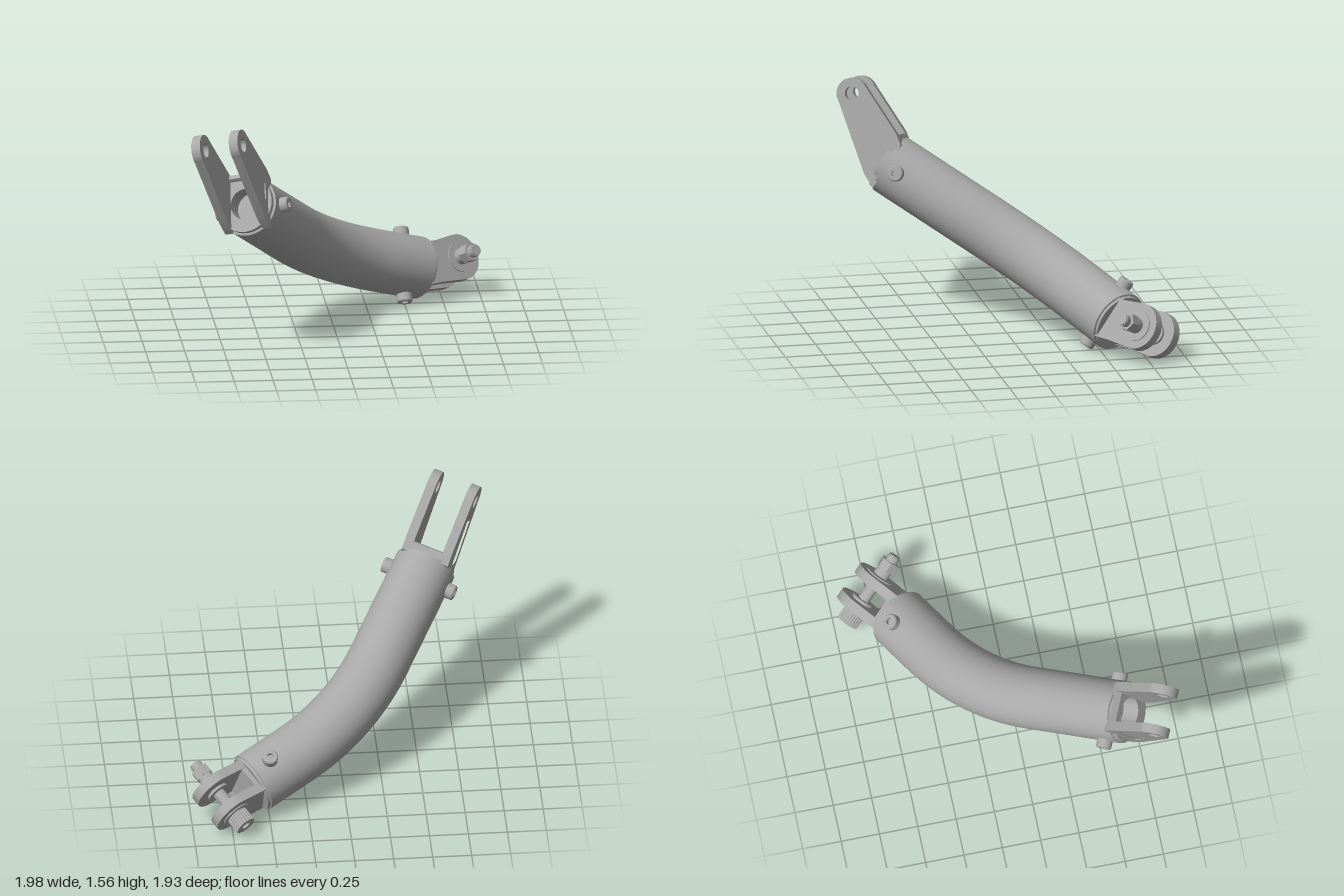
import * as THREE from 'three';
import { toCreasedNormals } from 'three/addons/utils/BufferGeometryUtils.js';

const V = (x, y, z) => new THREE.Vector3(x, y, z);

export function createModel() {
  const root = new THREE.Group();
  root.name = 'bentLinkArm';
  const metal = new THREE.MeshStandardMaterial({ color: 0xa8a8a8 });
  metal.name = 'grey metal';

  const add = (parent, name, geo) => {
    const m = new THREE.Mesh(toCreasedNormals(geo, 0.6), metal);
    m.name = name;
    parent.add(m);
    return m;
  };
  // turned part around y from [radius, height] pairs, bottom to top
  const turned = (pts, sides = 40) =>
    new THREE.LatheGeometry(pts.map(([r, h]) => new THREE.Vector2(r, h)), sides);
  // places a y-axis part at a point, facing a direction
  const aim = (mesh, pos, dir) => {
    mesh.position.copy(pos);
    mesh.quaternion.setFromUnitVectors(V(0, 1, 0), dir);
    return mesh;
  };
  // plate cut from an outline, spanning z0..z1
  const plate = (shape, z0, z1) =>
    new THREE.ExtrudeGeometry(shape, { depth: z1 - z0, bevelEnabled: false, curveSegments: 20 }).translate(0, 0, z0);
  // cylinder along z
  const rod = (r, z0, z1, sides = 32) =>
    new THREE.CylinderGeometry(r, r, z1 - z0, sides).rotateX(Math.PI / 2).translate(0, 0, (z0 + z1) / 2);
  // local frame: y along the fork, z along its pin
  const frame = (name, origin, along, pin) => {
    const y = along.clone().normalize();
    const z = pin.clone().addScaledVector(y, -pin.dot(y)).normalize();
    const x = y.clone().cross(z);
    const g = new THREE.Group();
    g.name = name;
    g.quaternion.setFromRotationMatrix(new THREE.Matrix4().makeBasis(x, y, z));
    g.position.copy(origin);
    root.add(g);
    return { g, x, y, z };
  };

  // bent tube: two straight runs joined by a smooth bend
  const top = V(-0.61, 1.01, 0.63), low = V(0.595, 0.225, -0.6), corner = V(-0.055, 0.45, -0.25);
  const upDir = top.clone().sub(corner).normalize();
  const lowDir = low.clone().sub(corner).normalize();
  const a = corner.clone().addScaledVector(upDir, 0.46);
  const b = corner.clone().addScaledVector(lowDir, 0.46);
  const path = new THREE.CurvePath();
  path.add(new THREE.LineCurve3(top, a));
  path.add(new THREE.QuadraticBezierCurve3(a, corner, b));
  path.add(new THREE.LineCurve3(b, low));
  add(root, 'bentTube', new THREE.TubeGeometry(path, 72, 0.2, 48));

  // end collars closing the tube; the upper one is bored
  aim(add(root, 'upperCollar', turned([[0.2, 0], [0.185, 0.004], [0.185, 0.035], [0.1, 0.035], [0.1, -0.08], [0, -0.08]])), top, upDir);
  aim(add(root, 'lowerCollar', turned([[0.2, 0], [0.188, 0.004], [0.185, 0.02], [0, 0.02]])), low, lowDir);

  // upper fork: two tapered prongs with pin holes and outer pockets
  const up = frame('upperFork', top, V(-0.19, 0.435, 0.18), V(0.89, 0.22, 0.4));
  const prongShape = () => {
    const s = new THREE.Shape();
    s.moveTo(-0.14, -0.1);
    s.lineTo(-0.15, 0.01);
    s.lineTo(-0.1, 0.49);
    s.absarc(0, 0.505, 0.1, Math.PI, 0, true);
    s.lineTo(0.15, 0.15);
    s.lineTo(0.145, 0.07);
    const hole = new THREE.Path();
    hole.absarc(0, 0.505, 0.045, 0, Math.PI * 2);
    s.holes.push(hole);
    return s;
  };
  const skinShape = prongShape();
  skinShape.holes.push(new THREE.Path(
    [[-0.05, 0.37], [0.06, 0.37], [0.1, 0.16], [-0.03, 0.06], [-0.09, 0.09]].map(([x, y]) => new THREE.Vector2(x, y))));
  for (const side of [1, -1]) {
    const core = [0.1, 0.138], skin = [0.138, 0.16];
    const span = ([i, o]) => (side > 0 ? [i, o] : [-o, -i]);
    add(up.g, 'prongCore', plate(prongShape(), ...span(core)));
    add(up.g, 'prongPocketRim', plate(skinShape, ...span(skin)));
  }
  add(up.g, 'forkWeb', new THREE.BoxGeometry(0.035, 0.11, 0.22).translate(0.13, 0.085, 0));

  // lower fork: two round lugs on a neck
  const lo = frame('lowerFork', low, V(0.205, -0.013, -0.155), V(0.515, 0.458, 0.725));
  const pinY = 0.257;
  const lug = new THREE.Shape();
  lug.moveTo(-0.135, 0.02);
  lug.lineTo(-0.135, 0.1);
  lug.lineTo(-0.148, 0.23);
  lug.absarc(0, pinY, 0.15, Math.PI - 0.1, 0.1, true);
  lug.lineTo(0.14, 0.08);
  lug.lineTo(0.14, -0.06);
  for (const z of [0.1, -0.1]) add(lo.g, 'lug', plate(lug, z - 0.032, z + 0.032));
  const neck = new THREE.Shape();
  neck.moveTo(-0.14, 0.02);
  neck.lineTo(-0.13, 0.09);
  neck.lineTo(0.13, 0.08);
  neck.lineTo(0.14, -0.06);
  add(lo.g, 'forkNeck', plate(neck, -0.131, 0.131));

  // bolt through the lugs
  const bolt = new THREE.Group();
  bolt.name = 'bolt';
  bolt.position.y = pinY;
  lo.g.add(bolt);
  add(bolt, 'boltShaft', rod(0.04, -0.15, 0.29));
  for (const s of [1, -1]) {
    add(bolt, 'outerWasher', rod(0.1, s > 0 ? 0.13 : -0.14, s > 0 ? 0.14 : -0.13));
    add(bolt, 'innerWasher', rod(0.075, s > 0 ? 0.05 : -0.07, s > 0 ? 0.07 : -0.05));
  }
  add(bolt, 'boltSleeve', rod(0.052, 0.13, 0.22));
  add(bolt, 'hexNut', rod(0.062, 0.19, 0.255, 6));
  add(bolt, 'boltTip', rod(0.036, 0.25, 0.3));
  // fluted socket head
  const head = new THREE.Shape();
  for (let i = 0; i < 48; i++) {
    const r = i % 2 ? 0.066 : 0.071, t = (i / 48) * Math.PI * 2;
    head[i ? 'lineTo' : 'moveTo'](r * Math.cos(t), r * Math.sin(t));
  }
  const socket = new THREE.Path();
  for (let i = 0; i < 6; i++) {
    const t = (i / 6) * Math.PI * 2;
    socket[i ? 'lineTo' : 'moveTo'](0.032 * Math.cos(t), 0.032 * Math.sin(t));
  }
  socket.closePath();
  head.holes.push(socket);
  add(bolt, 'boltHead', plate(head, -0.235, -0.135));
  add(bolt, 'headSocketFloor', rod(0.04, -0.19, -0.14));

  // socket screws in opposite pairs near both tube ends
  const screwPts = [[0.05, 0.15], [0.05, 0.242], [0.044, 0.25], [0.022, 0.25], [0.022, 0.225], [0, 0.225]];
  const screwPair = (end, axis, back, dir) => {
    const c = end.clone().addScaledVector(axis, -back);
    const d = dir.clone().addScaledVector(axis, -dir.dot(axis)).normalize();
    for (const s of [1, -1]) aim(add(root, 'socketScrew', turned(screwPts, 24)), c, d.clone().multiplyScalar(s));
  };
  screwPair(top, upDir, 0.1, up.z);
  screwPair(low, lowDir, 0.12, lo.x);

  return root;
}
